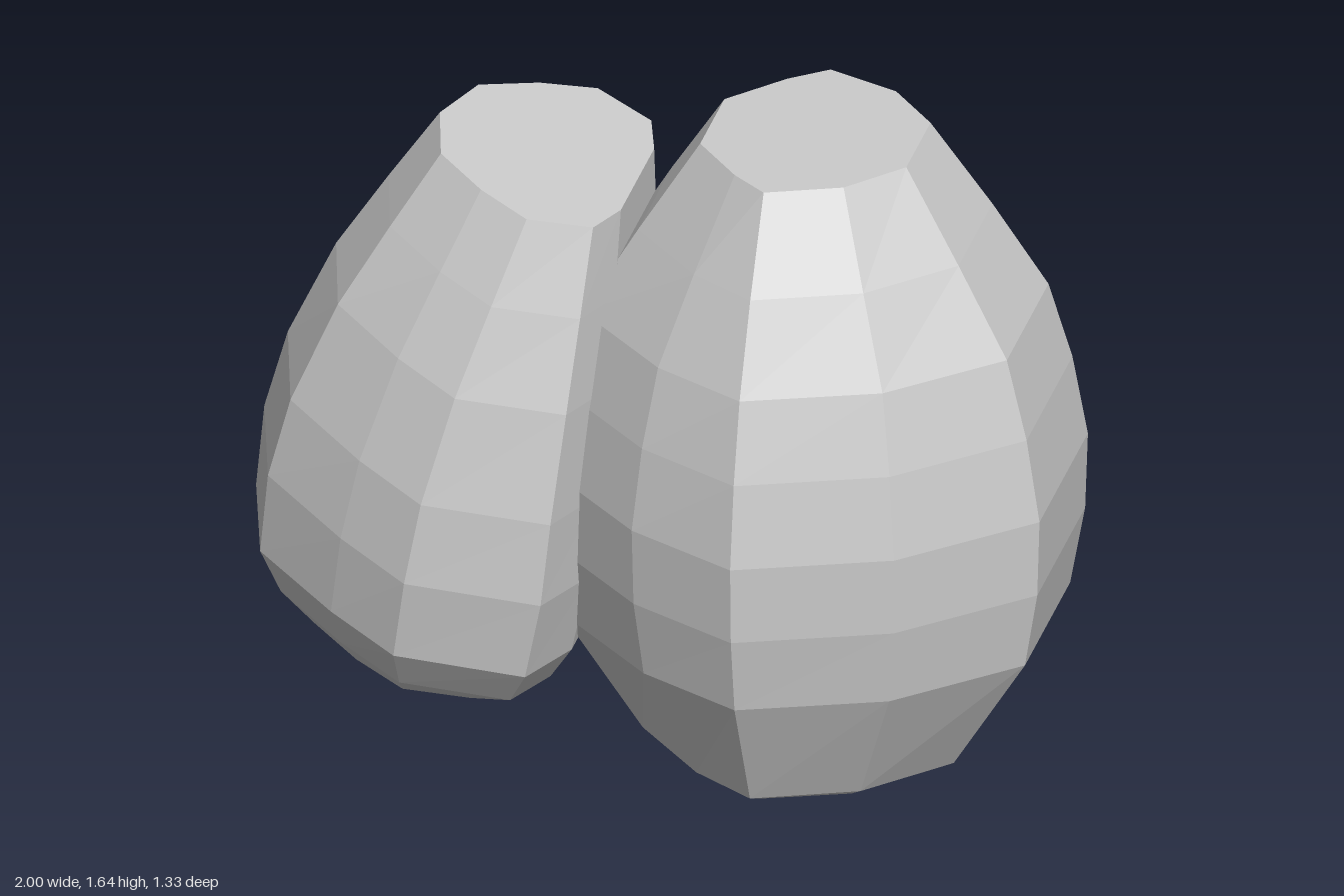
import * as THREE from 'three';

// Lofts a faceted pod. half: [x, z, fixed x shift] from the +x side to the -x side (z >= 0),
// mirrored in z. rings: [y, scaleX, scaleZ, centreX] from bottom to top.
function pod(name, half, rings, bottomY) {
  const mirrored = half.filter((p) => p[1] > 0).reverse().map(([x, z, s]) => [x, -z, s]);
  const outline = [...half, ...mirrored];
  const n = outline.length;
  const pos = [];
  const idx = [];
  for (const [y, sx, sz, cx] of rings) {
    for (const [x, z, shift = 0] of outline) pos.push(cx + x * sx + shift, y, z * sz);
  }
  const last = rings.length - 1;
  const bottom = pos.length / 3;
  pos.push(rings[0][3], bottomY, 0, rings[last][3], rings[last][0], 0);
  for (let j = 0; j < n; j++) {
    const k = (j + 1) % n;
    for (let i = 0; i < last; i++) {
      const a = i * n + j, b = i * n + k;
      idx.push(a, a + n, b, b, a + n, b + n);
    }
    idx.push(bottom, j, k, bottom + 1, last * n + k, last * n + j);
  }
  const geo = new THREE.BufferGeometry();
  geo.setAttribute('position', new THREE.Float32BufferAttribute(pos, 3));
  geo.setIndex(idx);
  const flat = geo.toNonIndexed();
  flat.computeVertexNormals();
  const mesh = new THREE.Mesh(flat, new THREE.MeshStandardMaterial({ color: 0xcccccc, flatShading: true }));
  mesh.name = name;
  return mesh;
}

export function createModel() {
  const group = new THREE.Group();
  group.name = 'podPair';

  // Large upright pod with ten sides
  const c = 0.385;
  group.add(pod('uprightPod',
    [[0.615, 0.24], [0.325, 0.52], [0, 0.665, -0.045], [-0.325, 0.52], [-0.615, 0.24]],
    [
      [0.02, 0.49, 0.54, c], [0.075, 0.626, 0.705, c], [0.39, 0.935, 0.935, c],
      [0.59, 0.99, 0.99, c], [0.79, 1, 1, c], [1.0, 0.943, 0.947, c],
      [1.2, 0.855, 0.86, c], [1.42, 0.645, 0.7, c], [1.645, 0.415, 0.5, c],
    ], 0.003));

  // Smaller pod leaning against it, one side nearly flat
  const leaning = pod('leaningPod',
    [[0.45, 0.28], [0.38, 0.49], [0, 0.6, 0.06], [-0.13, 0.49], [-0.36, 0.315], [-0.45, 0]]
      .map(([x, z, s]) => [x, z, s]),
    [
      [0.06, 0.57, 0.57, -0.643], [0.16, 0.84, 0.82, -0.637], [0.27, 0.97, 0.95, -0.659],
      [0.485, 1, 1, -0.677], [0.7, 0.955, 0.98, -0.69], [0.975, 0.84, 0.88, -0.686],
      [1.2, 0.7, 0.74, -0.67], [1.41, 0.56, 0.59, -0.654],
    ], 0.0);
  leaning.rotation.z = -0.24;
  group.add(leaning);

  return group;
}
